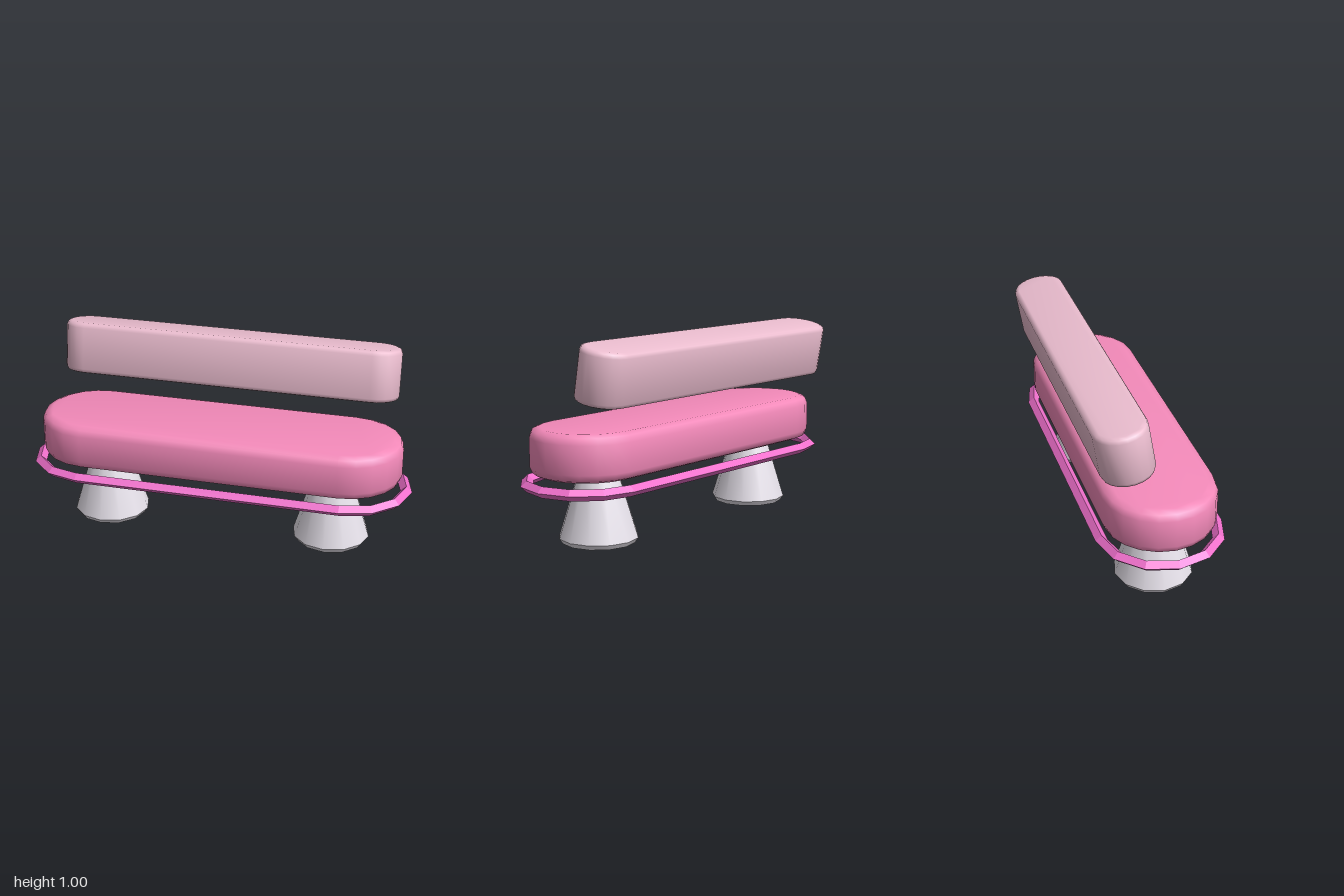
import * as THREE from 'three';
import { toCreasedNormals } from 'three/addons/utils/BufferGeometryUtils.js';

const CENTER_Z = 0.017;

// Outline of a pill: two half circles of the given radius, centred at x = +-c
function pillPoints(c, r, steps) {
  const points = [];
  for (const side of [1, -1]) {
    for (let i = 0; i <= steps; i++) {
      const a = -Math.PI / 2 + (Math.PI * i) / steps;
      points.push(new THREE.Vector2(side * (c + r * Math.cos(a)), side * r * Math.sin(a)));
    }
  }
  return points;
}

// Pill-shaped cushion with softened rims, centred on its own origin
function cushion(c, r, height, bevel, steps) {
  const geo = new THREE.ExtrudeGeometry(new THREE.Shape(pillPoints(c, r, steps)), {
    depth: height - 2 * bevel,
    bevelThickness: bevel,
    bevelSize: bevel,
    bevelOffset: -bevel,
    bevelSegments: 2,
  });
  geo.center();
  geo.rotateX(-Math.PI / 2);
  return toCreasedNormals(geo, 0.9);
}

// Closed band with a diamond cross-section that follows a pill outline
function diamondBand(c, r, w, h, steps) {
  const profile = [[w, 0], [0, h], [-w, 0], [0, -h]];
  const loops = profile.map(([dr, y]) => pillPoints(c, r + dr, steps).map((p) => [p.x, y, p.y]));
  const n = loops[0].length;
  const position = [];
  for (let k = 0; k < 4; k++) {
    const A = loops[k];
    const B = loops[(k + 1) % 4];
    for (let i = 0; i < n; i++) {
      const j = (i + 1) % n;
      position.push(...A[i], ...B[i], ...A[j], ...A[j], ...B[i], ...B[j]);
    }
  }
  const geo = new THREE.BufferGeometry();
  geo.setAttribute('position', new THREE.Float32BufferAttribute(position, 3));
  geo.computeVertexNormals();
  return geo;
}

export function createModel() {
  const group = new THREE.Group();
  const add = (name, geometry, color, x, y, z) => {
    const mesh = new THREE.Mesh(geometry, new THREE.MeshStandardMaterial({ color }));
    mesh.name = name;
    mesh.position.set(x, y, z);
    group.add(mesh);
    return mesh;
  };

  // Seat cushion
  add('seat', cushion(0.665, 0.28, 0.23, 0.045, 10), 0xf48aba, 0, 0.463, CENTER_Z);

  // Floating backrest, leaning backwards
  const back = add('backrest', cushion(0.753, 0.132, 0.265, 0.024, 10), 0xebbdcf, 0, 0.849, -0.185);
  back.rotation.x = -0.17;

  // Trim ring below the seat
  add('trimRing', diamondBand(0.682, 0.288, 0.03, 0.028, 6), 0xf070cc, 0, 0.306, CENTER_Z);

  // Tapered feet with a bevelled base, reaching into the seat
  const profile = [[0, 0], [0.18, 0], [0.197, 0.025], [0.094, 0.36], [0.08, 0.4], [0, 0.4]]
    .map(([x, y]) => new THREE.Vector2(x, y));
  const footGeo = toCreasedNormals(new THREE.LatheGeometry(profile, 12).toNonIndexed(), 0.7);
  add('leftFoot', footGeo, 0xe6e1ea, 0.595, 0, CENTER_Z);
  add('rightFoot', footGeo, 0xe6e1ea, -0.595, 0, CENTER_Z);

  return group;
}
